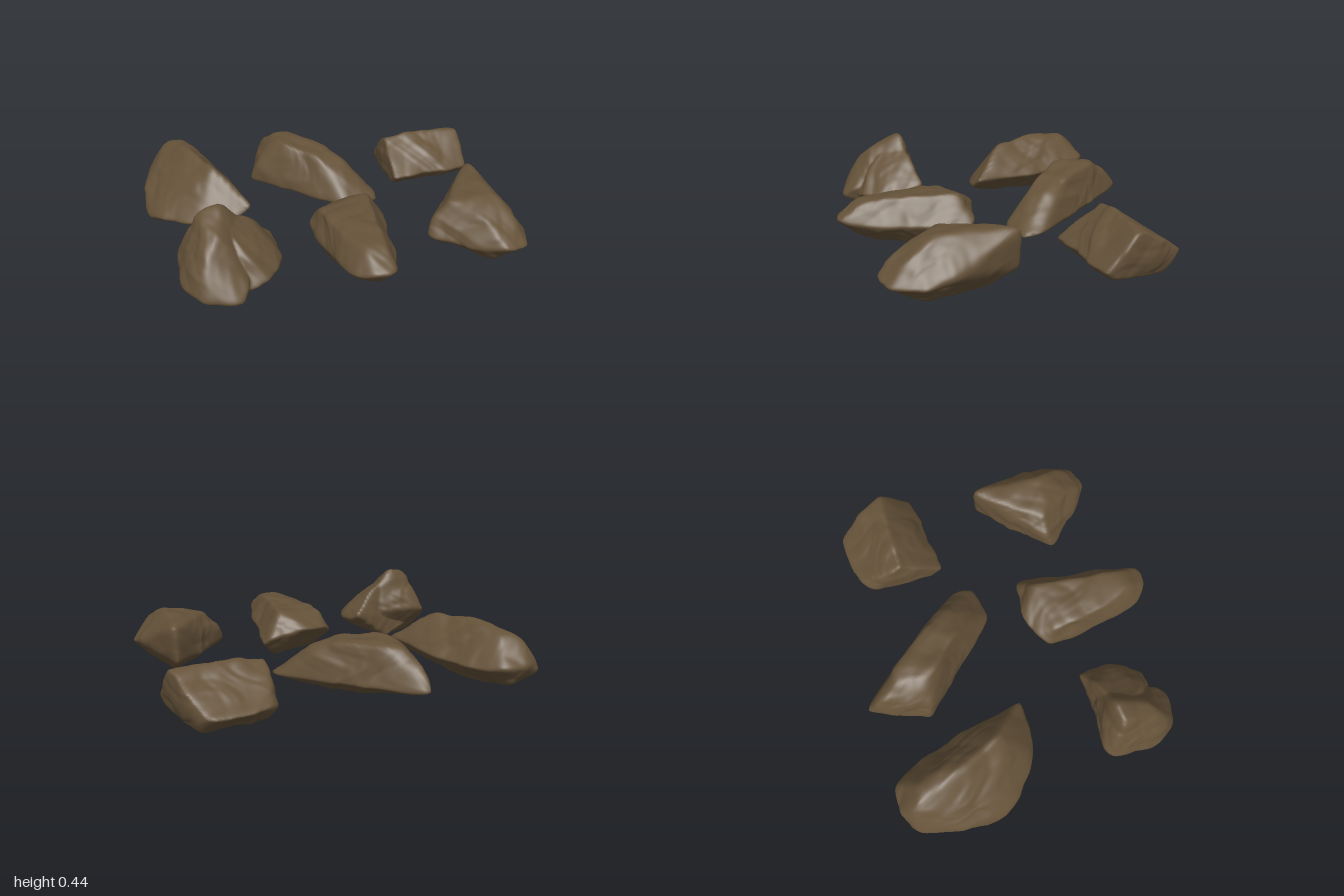
import * as THREE from 'three';
import { mergeVertices } from 'three/addons/utils/BufferGeometryUtils.js';
import { ConvexGeometry } from 'three/addons/geometries/ConvexGeometry.js';

const V = (p) => new THREE.Vector3(...p);

// Face planes (normal / distance) of a convex hull around the rock's centre
function hullPlanes(points, centre) {
  const pos = new ConvexGeometry(points.map((p) => V(p).sub(centre))).attributes.position;
  const planes = [], tri = new THREE.Triangle(), n = new THREE.Vector3();
  for (let i = 0; i < pos.count; i += 3) {
    tri.setFromAttributeAndIndices(pos, i, i + 1, i + 2);
    if (tri.getArea() < 1e-6) continue;
    tri.getNormal(n);
    planes.push(n.clone().divideScalar(Math.max(n.dot(tri.a), 0.01)));
  }
  return planes;
}

// Soft lumps and fine chipping, warped so that they do not line up
function lumps(p, s) {
  const x = p.x + 0.05 * Math.sin(p.y * 19 + p.z * 11 + s);
  const y = p.y + 0.05 * Math.sin(p.z * 17 - p.x * 13 + s * 2);
  const z = p.z + 0.05 * Math.sin(p.x * 18 + p.y * 12 + s * 3);
  const wave = (f, t) => Math.sin(x * f + t) * Math.sin(y * f + t * 2) + Math.sin(z * f + t * 3) * Math.cos(x * f * 0.8 - t);
  return wave(16, s) * 0.006 + wave(35, s * 5) * 0.003 + wave(75, s * 7) * 0.001;
}

// A rock: sphere pushed out to the union of rounded convex hulls
function rock(name, seed, centre, hulls, material) {
  const c = V(centre);
  const sets = hulls.map((h) => hullPlanes(h, c));
  const size = new THREE.Box3().setFromPoints(hulls.flat().map(V)).getSize(new THREE.Vector3());
  let geo = new THREE.IcosahedronGeometry(1, 24);
  geo.deleteAttribute('normal');
  geo.deleteAttribute('uv');
  geo = mergeVertices(geo, 1e-4);
  const pos = geo.attributes.position, d = new THREE.Vector3();
  for (let i = 0; i < pos.count; i++) {
    d.fromBufferAttribute(pos, i).multiply(size).normalize();
    let r = 0;
    for (const planes of sets) {
      let sum = 0;
      for (const p of planes) sum += Math.max(p.dot(d), 0) ** 30;
      r = Math.max(r, sum ** (-1 / 30));
    }
    const q = d.clone().multiplyScalar(r * 1.025);
    q.addScaledVector(d, lumps(q, seed)).add(c);
    q.y = Math.max(q.y, 0);
    pos.setXYZ(i, q.x, q.y, q.z);
  }
  geo.computeVertexNormals();
  const mesh = new THREE.Mesh(geo, material);
  mesh.name = name;
  return mesh;
}

export function createModel() {
  const group = new THREE.Group();
  group.name = 'rocks';
  const stone = new THREE.MeshStandardMaterial({ color: 0x655239 });
  stone.name = 'brown stone';

  // Long ridged boulder
  group.add(rock('backLeftRock', 1, [-0.75, 0.17, -0.46], [[
    [-0.92, 0.14, -0.81], [-0.79, 0.2, -0.87], [-0.64, 0.2, -0.85], [-0.57, 0.17, -0.74],
    [-1, 0.02, -0.4], [-0.98, 0.13, -0.55], [-0.95, 0.07, -0.27], [-0.75, 0.08, -0.09],
    [-0.49, 0.12, -0.03], [-0.44, 0.17, -0.05], [-0.49, 0.16, -0.45], [-0.51, 0.26, -0.14],
    [-0.8, 0.34, -0.76], [-0.7, 0.34, -0.74], [-0.72, 0.37, -0.5], [-0.61, 0.35, -0.24],
    [-0.85, 0.03, -0.55], [-0.68, 0.02, -0.5], [-0.65, 0.04, -0.2], [-0.75, 0.06, -0.78],
  ]], stone));

  // Diagonal plank-like rock with an arched, broad top
  group.add(rock('backMiddleRock', 2, [-0.03, 0.19, -0.42], [[
    [-0.2, 0.16, -0.87], [-0.14, 0.14, -0.82], [-0.27, 0.14, -0.72], [-0.34, 0.09, -0.55],
    [-0.32, 0.18, -0.53], [0.02, 0.1, -0.18], [0.1, 0.09, -0.04], [0.31, 0.08, -0.06],
    [0.33, 0.1, -0.18], [0.21, 0.14, -0.33], [-0.02, 0.14, -0.68],
    [-0.22, 0.31, -0.53], [-0.16, 0.35, -0.45], [-0.02, 0.33, -0.3], [-0.06, 0.34, -0.64],
    [0.09, 0.33, -0.43], [0.16, 0.27, -0.26], [0.08, 0.25, -0.18], [-0.15, 0.35, -0.63],
    [-0.2, 0.28, -0.75], [-0.25, 0.06, -0.6], [0.15, 0.04, -0.16], [0.1, 0.04, -0.33],
  ]], stone));

  // Wedge-shaped block
  group.add(rock('backRightRock', 3, [0.73, 0.18, -0.43], [[
    [0.48, 0.14, -0.19], [0.6, 0.14, -0.19], [0.98, 0.13, -0.23], [0.48, 0.08, -0.24],
    [0.98, 0.09, -0.27], [0.49, 0.31, -0.43], [0.75, 0.34, -0.42], [0.98, 0.32, -0.39],
    [0.96, 0.31, -0.47], [0.49, 0.13, -0.6], [0.56, 0.16, -0.68], [0.68, 0.15, -0.7],
    [0.87, 0.16, -0.69], [0.92, 0.13, -0.62], [0.55, 0.06, -0.6], [0.88, 0.06, -0.6],
    [0.99, 0.2, -0.33],
  ]], stone));

  // Peaked rock with a side lobe
  group.add(rock('frontLeftRock', 4, [-0.7, 0.18, 0.47], [[
    [-0.91, 0.18, 0.29], [-0.82, 0.2, 0.26], [-0.62, 0.2, 0.3], [-0.93, 0.12, 0.57],
    [-0.86, 0.1, 0.69], [-0.67, 0.09, 0.75], [-0.62, 0.14, 0.69], [-0.53, 0.15, 0.4],
    [-0.8, 0.43, 0.38], [-0.69, 0.44, 0.37], [-0.7, 0.42, 0.44], [-0.76, 0.34, 0.58],
    [-0.88, 0.27, 0.46], [-0.81, 0.29, 0.62], [-0.68, 0.27, 0.61], [-0.56, 0.31, 0.37],
    [-0.85, 0.02, 0.4], [-0.65, 0.01, 0.42], [-0.8, 0.03, 0.6], [-0.62, 0.03, 0.58],
  ], [
    [-0.84, 0.1, 0.35], [-0.84, 0.3, 0.4], [-0.82, 0.12, 0.6], [-0.72, 0.4, 0.42],
    [-0.55, 0.34, 0.34], [-0.48, 0.27, 0.32], [-0.43, 0.2, 0.3], [-0.4, 0.16, 0.36],
    [-0.4, 0.15, 0.48], [-0.51, 0.13, 0.65], [-0.6, 0.1, 0.67], [-0.62, 0.28, 0.58],
    [-0.47, 0.24, 0.47], [-0.5, 0.07, 0.42], [-0.65, 0.03, 0.33], [-0.7, 0.03, 0.55],
  ]], stone));

  // Tapering rock with a rounded front end
  group.add(rock('frontMiddleRock', 5, [0, 0.17, 0.46], [[
    [-0.2, 0.16, 0.22], [-0.14, 0.2, 0.16], [0, 0.22, 0.12], [0.22, 0.17, 0.17],
    [0.25, 0.14, 0.2], [0.18, 0.14, 0.42], [-0.19, 0.14, 0.38], [-0.17, 0.16, 0.7],
    [-0.15, 0.28, 0.28], [0.13, 0.31, 0.25], [0.07, 0.31, 0.55], [-0.12, 0.28, 0.6],
    [0.12, 0.15, 0.68], [0.1, 0.17, 0.79], [-0.13, 0.06, 0.3], [0.14, 0.04, 0.28],
    [0.05, 0.05, 0.62], [-0.1, 0.07, 0.64], [-0.12, 0.17, 0.81], [-0.05, 0.2, 0.87],
    [0.05, 0.2, 0.87], [-0.06, 0.29, 0.73], [0.05, 0.29, 0.73], [0, 0.1, 0.79],
  ]], stone));

  // Angular rock rising to a pointed back corner
  group.add(rock('frontRightRock', 6, [0.7, 0.17, 0.5], [[
    [0.38, 0.12, 0.48], [0.41, 0.18, 0.46], [0.55, 0.23, 0.31], [0.74, 0.34, 0.14],
    [0.79, 0.35, 0.12], [0.78, 0.14, 0.11], [0.83, 0.27, 0.27], [0.88, 0.17, 0.43],
    [0.91, 0.14, 0.6], [0.82, 0.14, 0.77], [0.7, 0.16, 0.8], [0.56, 0.13, 0.68],
    [0.51, 0.31, 0.46], [0.6, 0.34, 0.48], [0.73, 0.34, 0.53], [0.79, 0.27, 0.64],
    [0.62, 0.28, 0.64], [0.55, 0.06, 0.48], [0.75, 0.04, 0.3], [0.8, 0.04, 0.58],
    [0.68, 0.05, 0.68],
  ]], stone));

  return group;
}
